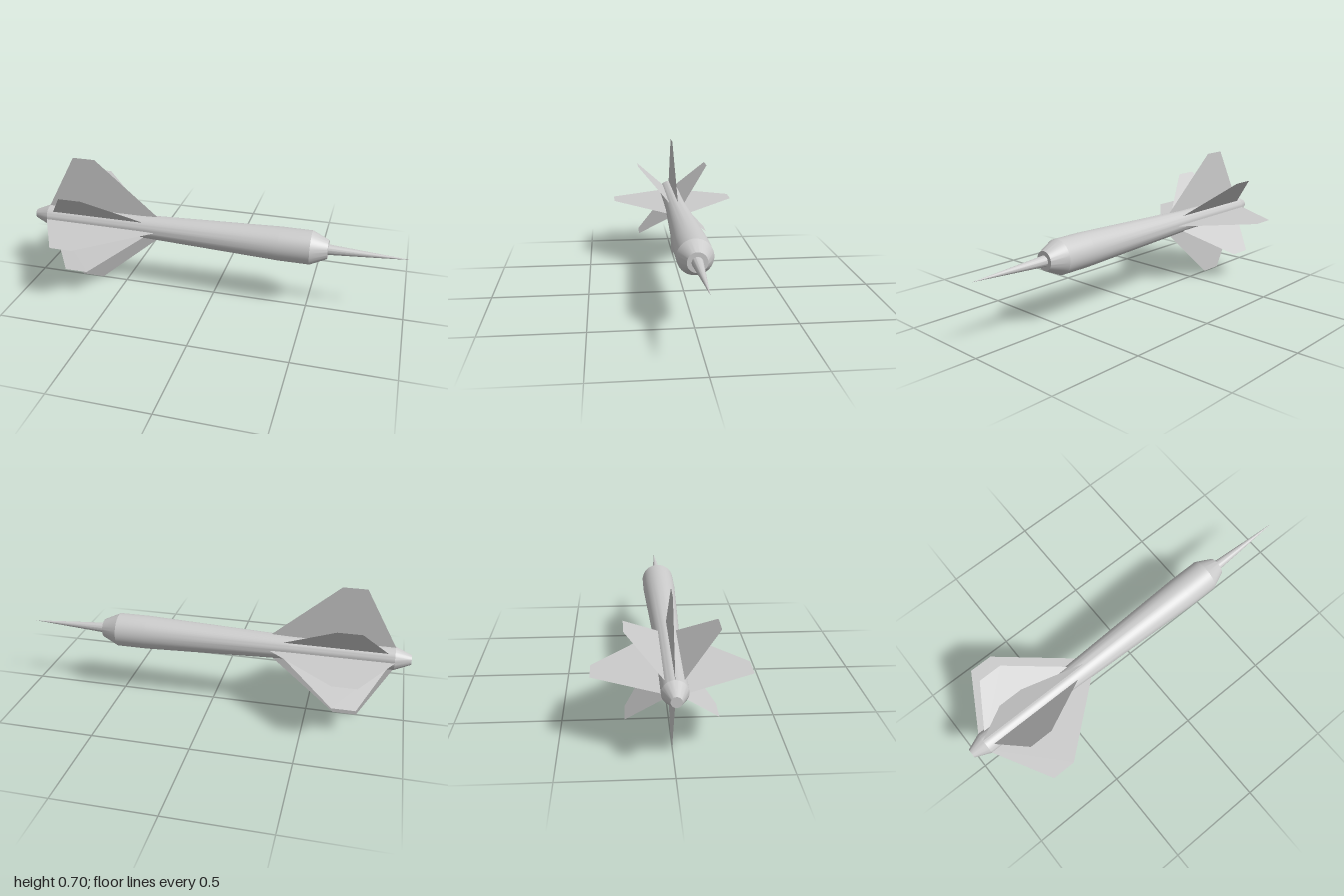
import * as THREE from 'three';
import { toCreasedNormals } from 'three/addons/utils/BufferGeometryUtils.js';

const metal = new THREE.MeshStandardMaterial({ color: 0xcccccc });
const sheet = new THREE.MeshStandardMaterial({ color: 0xcccccc, side: THREE.DoubleSide });

// Turned part along +x from [x, radius] pairs
function turned(name, profile) {
  const points = profile.map(([x, r]) => new THREE.Vector2(r, x));
  const lathe = new THREE.LatheGeometry(points, 48).rotateZ(-Math.PI / 2);
  const mesh = new THREE.Mesh(toCreasedNormals(lathe, 0.3), metal);
  mesh.name = name;
  return mesh;
}

// Thin trapezoid fin; both sizes share the same edge slopes
function finGeometry(height) {
  const root = 0.02, span = height - root;
  return new THREE.ShapeGeometry(new THREE.Shape([
    new THREE.Vector2(-0.76 - 0.55 * span, root),
    new THREE.Vector2(-0.64 + 1.17 * span, root),
    new THREE.Vector2(-0.64, height),
    new THREE.Vector2(-0.76, height),
  ]));
}

export function createModel() {
  const dart = new THREE.Group();
  dart.name = 'dart';

  // Barrel with tapered tail and nose
  dart.add(turned('barrel', [
    [-1, 0], [-1, 0.024], [-0.92, 0.058], [-0.4, 0.06],
    [0.35, 0.087], [0.51, 0.087], [0.595, 0.048], [0.595, 0],
  ]));

  // Steel point
  dart.add(turned('point', [[0.59, 0], [0.59, 0.027], [1, 0]]));

  // Eight fins: large ones on the axes, smaller ones on the diagonals
  const flight = new THREE.Group();
  flight.name = 'flight';
  const large = finGeometry(0.35), small = finGeometry(0.29);
  for (let i = 0; i < 8; i++) {
    const fin = new THREE.Mesh(i % 2 ? small : large, sheet);
    fin.name = i % 2 ? 'smallFin' : 'largeFin';
    fin.rotation.x = (i * Math.PI) / 4;
    flight.add(fin);
  }
  dart.add(flight);

  dart.children.forEach((part) => { part.position.y = 0.35; });
  return dart;
}
